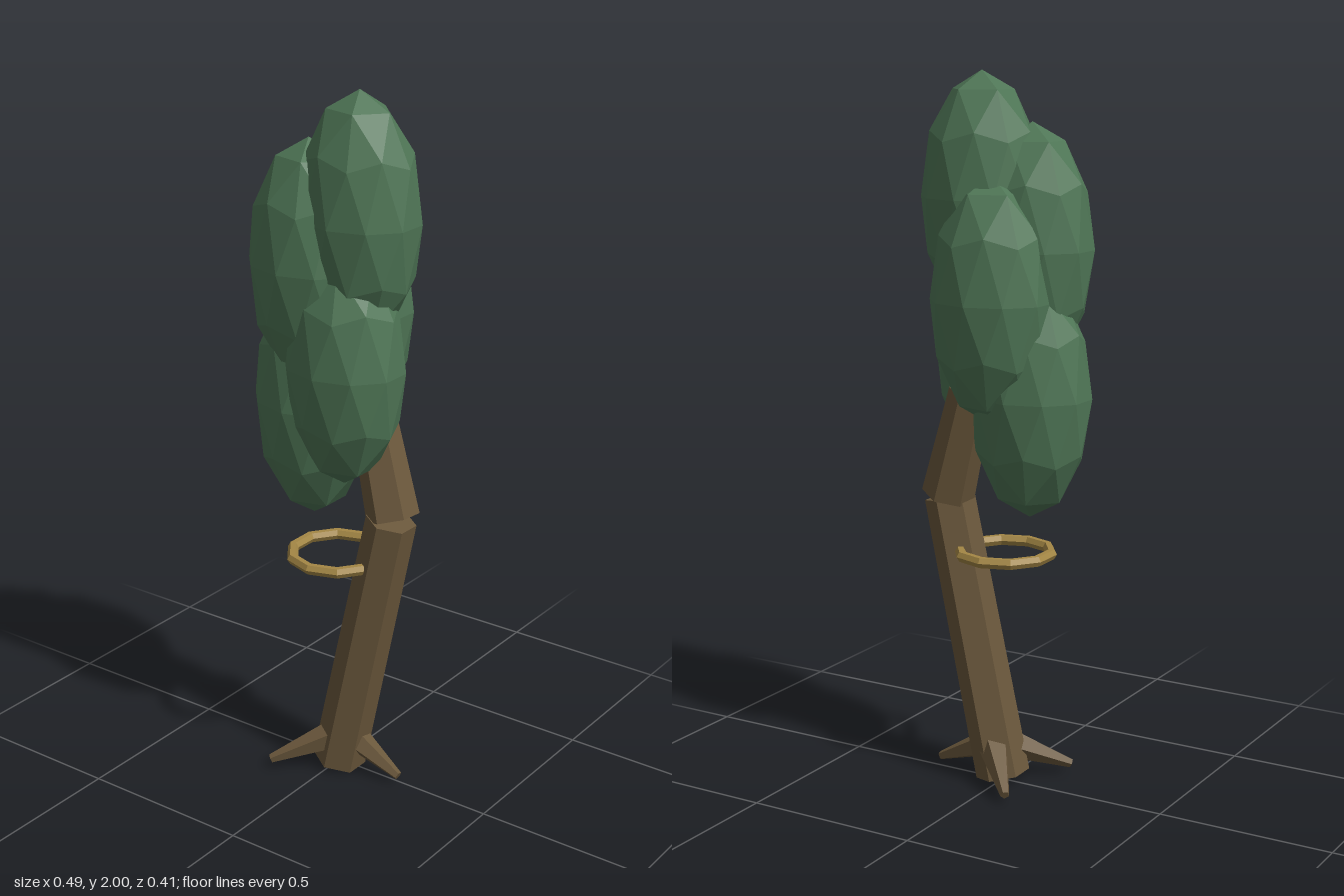
import * as THREE from 'three';

const V = (x, y, z) => new THREE.Vector3(x, y, z);

export function createModel() {
  const tree = new THREE.Group();
  tree.name = 'tree';

  const material = (name, color) => {
    const m = new THREE.MeshStandardMaterial({ color, flatShading: true });
    m.name = name;
    return m;
  };
  const bark = material('bark brown', 0x6b583c);
  const leaf = material('leaf green', 0x4f7656);
  const gold = material('hoop gold', 0xa48745);

  const add = (name, geometry, mat) => {
    const mesh = new THREE.Mesh(geometry, mat);
    mesh.name = name;
    tree.add(mesh);
    return mesh;
  };

  // Tapered faceted limb running from point a to point b
  const limb = (name, a, b, ra, rb, sides) => {
    const dir = b.clone().sub(a);
    const mesh = add(name, new THREE.CylinderGeometry(rb, ra, dir.length(), sides), bark);
    mesh.position.copy(a).add(b).multiplyScalar(0.5);
    mesh.quaternion.setFromUnitVectors(V(0, 1, 0), dir.normalize());
  };

  // Trunk in two leaning sections
  limb('lowerTrunk', V(0.005, 0.016, 0.008), V(0.172, 0.817, -0.004), 0.077, 0.071, 6);
  limb('upperTrunk', V(0.172, 0.823, -0.012), V(0.08, 1.13, -0.036), 0.075, 0.062, 6);

  // Three roots spreading from the foot of the trunk
  const rootTips = [[0.215, 0.01], [-0.14, 0.15], [-0.098, -0.155]];
  for (const [x, z] of rootTips) {
    limb('root', V(0.02 + x * 0.1, 0.105, z * 0.2), V(x, 0.027, z), 0.044, 0.013, 5);
  }

  // Hoop hanging level around the trunk
  const hoop = add('hoop', new THREE.TorusGeometry(0.131, 0.016, 6, 10).rotateZ(Math.PI / 2), gold);
  hoop.rotation.x = Math.PI / 2;
  hoop.position.set(-0.003, 0.675, 0.008);

  // Foliage: one faceted egg with a corner at its top, repeated at each centre
  const clump = new THREE.IcosahedronGeometry(1, 1)
    .rotateX(-Math.atan((1 + Math.sqrt(5)) / 2))
    .rotateY(Math.PI / 2)
    .scale(0.177, 0.34, 0.147);
  const centres = {
    topFoliage: [0.077, 1.66, 0.019],
    upperFoliage: [-0.061, 1.525, 0.053],
    lowerFoliage: [-0.079, 1.125, 0.012],
    frontFoliage: [0.056, 1.26, 0.055],
    backFoliage: [0.002, 1.39, -0.058],
  };
  for (const [name, centre] of Object.entries(centres)) {
    add(name, clump, leaf).position.set(...centre);
  }

  return tree;
}
